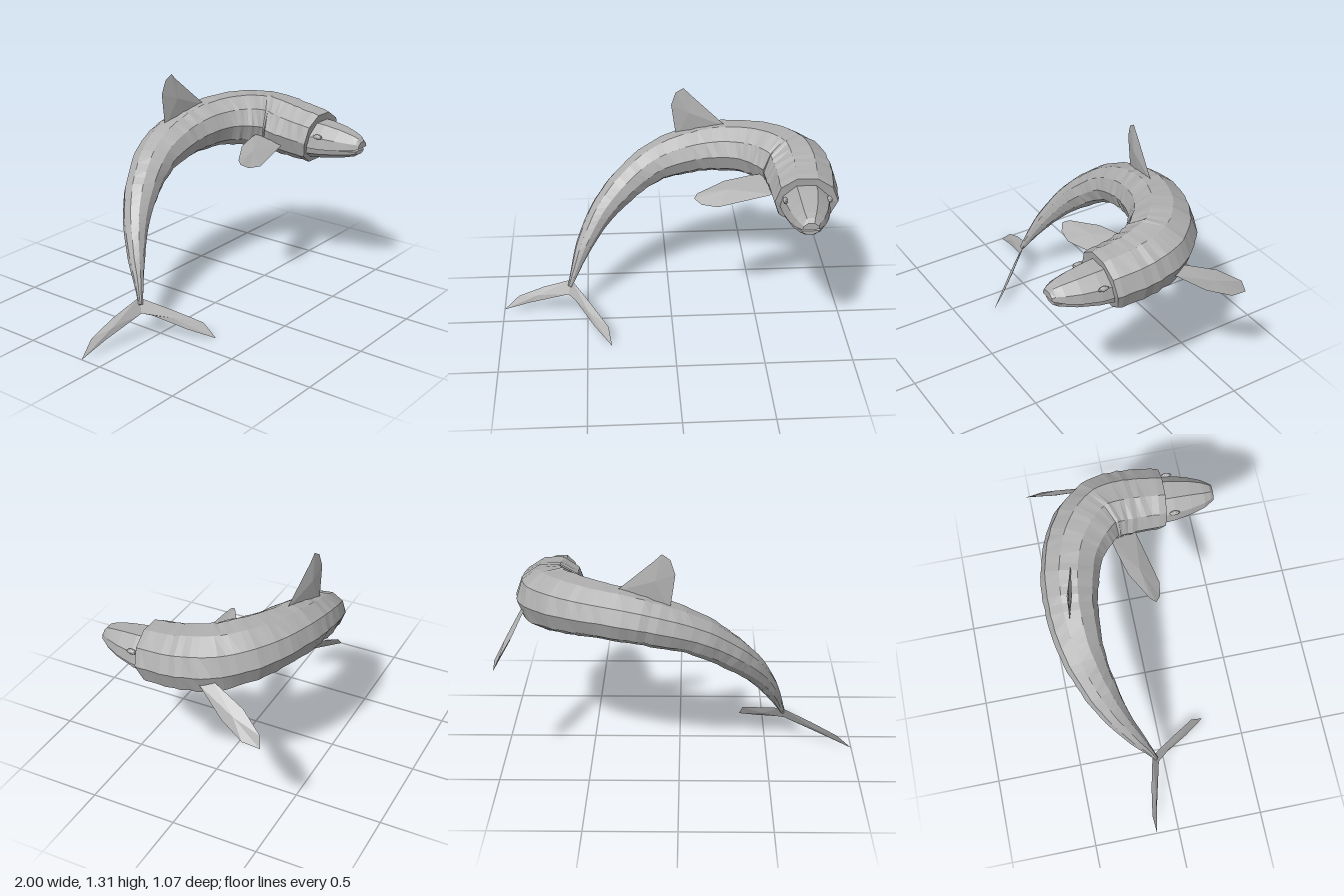
import * as THREE from 'three';

const V = (p) => new THREE.Vector3(...p);
const middle = (pts) => pts.reduce((s, p) => s.add(p), V([0, 0, 0])).divideScalar(pts.length);

// Triangles (lists of Vector3) to a flat shaded mesh
function facetMesh(name, pts, material) {
  const g = new THREE.BufferGeometry().setFromPoints(pts);
  g.computeVertexNormals();
  const m = new THREE.Mesh(g, material);
  m.name = name;
  return m;
}

// Skin over rings of points, closed by a fan at both ends
function loft(name, rings, material) {
  const out = [];
  const n = rings[0].length;
  for (let i = 0; i < rings.length - 1; i++) {
    for (let j = 0; j < n; j++) {
      const k = (j + 1) % n;
      const [a, b, c, d] = [rings[i][j], rings[i][k], rings[i + 1][k], rings[i + 1][j]];
      out.push(a, d, b, b, d, c);
    }
  }
  const first = rings[0], last = rings[rings.length - 1];
  const c0 = middle(first), c1 = middle(last);
  for (let j = 0; j < n; j++) {
    const k = (j + 1) % n;
    out.push(c0, first[j], first[k], c1, last[k], last[j]);
  }
  return facetMesh(name, out, material);
}

// Thin blade: outline swollen a little at its middle on both sides
function fin(name, outline, t, material) {
  const p = outline.map(V);
  const c = middle(p);
  const normal = V([0, 0, 0]);
  p.forEach((q, i) => normal.add(q.clone().sub(c).cross(p[(i + 1) % p.length].clone().sub(c))));
  normal.normalize().multiplyScalar(t);
  const up = c.clone().add(normal), down = c.clone().sub(normal);
  const out = [];
  p.forEach((q, i) => {
    const r = p[(i + 1) % p.length];
    out.push(up, q, r, down, r, q);
  });
  return facetMesh(name, out, material);
}

export function createModel() {
  const model = new THREE.Group();
  model.name = 'leapingSeaAnimal';
  const skin = new THREE.MeshStandardMaterial({ color: 0xb0b0b0, flatShading: true, side: THREE.DoubleSide });
  skin.name = 'greySkin';

  let seed = 7;
  const rand = () => (seed = (seed * 16807) % 2147483647) / 2147483647;

  // Body: spine point, half width, half height from neck to tail
  const spine = [
    [0.725, 0.893, 0.24, 0.178, 0.16], [0.73, 0.912, 0.05, 0.192, 0.17],
    [0.698, 0.938, -0.11, 0.193, 0.174], [0.615, 0.958, -0.215, 0.19, 0.166],
    [0.487, 0.964, -0.303, 0.176, 0.155], [0.32, 0.955, -0.36, 0.162, 0.144],
    [0.12, 0.917, -0.385, 0.145, 0.133], [-0.08, 0.85, -0.373, 0.126, 0.115],
    [-0.25, 0.735, -0.325, 0.104, 0.098], [-0.4, 0.588, -0.25, 0.077, 0.076],
    [-0.508, 0.42, -0.16, 0.048, 0.05], [-0.573, 0.27, -0.085, 0.022, 0.025],
    [-0.6, 0.2, -0.055, 0.012, 0.014],
  ];
  const path = new THREE.CatmullRomCurve3(spine.map((s) => V(s.slice(0, 3))));
  const size = new THREE.CatmullRomCurve3(spine.map((s) => V([s[3], s[4], 0])));
  const rings = [];
  const steps = 60, sides = 10;
  for (let i = 0; i <= steps; i++) {
    const t = i / steps;
    const c = path.getPoint(t), s = size.getPoint(t), dir = path.getTangent(t);
    const right = dir.clone().cross(V([0, 1, 0])).normalize();
    const up = right.clone().cross(dir);
    const swell = 1 + (rand() - 0.5) * 0.04;
    const ring = [];
    for (let j = 0; j < sides; j++) {
      const a = (j / sides) * Math.PI * 2;
      const r = swell + (rand() - 0.5) * 0.03;
      ring.push(c.clone().addScaledVector(right, Math.cos(a) * s.x * r)
        .addScaledVector(up, Math.sin(a) * s.y * r));
    }
    rings.push(ring);
  }
  // The neck edge leans back at the throat
  rings[0].forEach((p) => { p.z += Math.min(0, p.y - 0.86) * 0.25; });
  model.add(loft('body', rings, skin));

  // Jaws: each station is z, centre x, half width, mouth y, outer y
  const half = [[1, 0], [0.92, 0.5], [0.4, 1], [-0.4, 1], [-0.92, 0.5], [-1, 0]];
  const jaw = (name, stations, lower) => {
    const section = lower ? [...half].reverse() : half;
    const loops = stations.map(([z, x, w, y0, y1]) =>
      section.map(([u, v]) => V([x - u * w, y0 + v * (y1 - y0), z])));
    model.add(loft(name, loops, skin));
  };
  jaw('upperJaw', [[0.17, 0.722, 0.142, 0.86, 1.0], [0.3, 0.72, 0.132, 0.862, 0.993],
    [0.4, 0.715, 0.11, 0.868, 0.98], [0.48, 0.708, 0.082, 0.878, 0.963],
    [0.52, 0.705, 0.056, 0.884, 0.948], [0.538, 0.705, 0.045, 0.89, 0.925]], false);
  jaw('lowerJaw', [[0.17, 0.722, 0.138, 0.862, 0.775], [0.3, 0.72, 0.122, 0.864, 0.79],
    [0.42, 0.713, 0.095, 0.869, 0.814], [0.5, 0.707, 0.06, 0.872, 0.836],
    [0.522, 0.705, 0.045, 0.872, 0.85]], true);

  // Eyes
  for (const side of [-1, 1]) {
    const eye = new THREE.Mesh(new THREE.SphereGeometry(1, 8, 6), skin);
    eye.name = side > 0 ? 'leftEye' : 'rightEye';
    eye.scale.set(0.014, 0.014, 0.032);
    eye.position.set(0.722 + side * 0.122, 0.935, 0.295);
    model.add(eye);
  }

  // Back fin
  model.add(fin('backFin', [[0.34, 1.08, -0.345], [0.13, 1.27, -0.385], [0.09, 1.31, -0.39],
    [0.045, 1.28, -0.397], [0.02, 1.2, -0.405], [0.05, 0.99, -0.408], [0.2, 1.0, -0.375]],
  0.014, skin));

  // Side fins
  model.add(fin('leftSideFin', [[0.85, 0.91, -0.18], [0.9, 0.83, -0.38], [0.963, 0.748, -0.505],
    [0.99, 0.69, -0.517], [0.997, 0.705, -0.42], [0.95, 0.765, -0.28], [0.88, 0.88, -0.12]],
  0.014, skin));
  model.add(fin('rightSideFin', [[0.57, 0.9, -0.1], [0.45, 0.9, -0.075], [0.3, 0.89, -0.035],
    [0.14, 0.865, 0.06], [0.12, 0.85, 0.09], [0.16, 0.825, 0.12], [0.25, 0.815, 0.135],
    [0.57, 0.845, 0.06]], 0.014, skin));

  // Tail flukes
  model.add(fin('rightFluke', [[-0.59, 0.235, -0.075], [-0.76, 0.165, -0.115], [-0.91, 0.09, -0.14],
    [-1, 0.003, -0.13], [-0.85, 0.065, -0.1], [-0.61, 0.155, -0.04]], 0.008, skin));
  model.add(fin('leftFluke', [[-0.59, 0.235, -0.075], [-0.48, 0.16, 0.07], [-0.378, 0.085, 0.21],
    [-0.36, 0.003, 0.285], [-0.46, 0.06, 0.16], [-0.57, 0.14, 0.0], [-0.61, 0.155, -0.04]],
  0.008, skin));

  return model;
}
